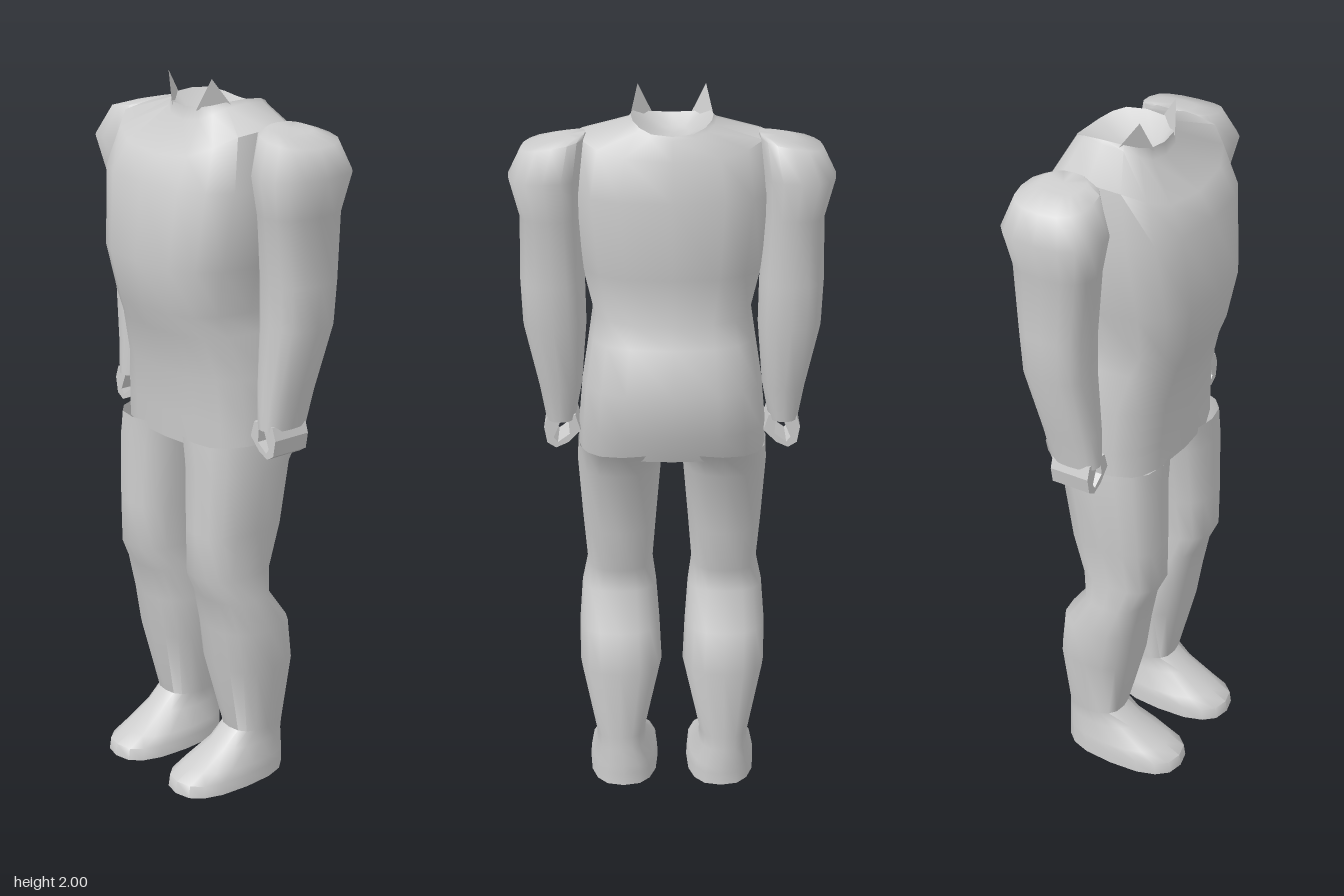
import * as THREE from 'three';
import { toCreasedNormals } from 'three/addons/utils/BufferGeometryUtils.js';

const SIDES = 16;
const soft = (v, p) => Math.sign(v) * Math.pow(Math.abs(v), p);

// Loft through rounded sections, listed top to bottom, with optional end caps:
// [y, x0, x1, zFront, zBack, frontDy, backDy, tiltDy]
function loft(rows, { power = 0.78, crease = 1.0, capTop = false, capBottom = false }) {
  const pos = [], idx = [];
  const centre = (r) => [(r[1] + r[2]) / 2, r[0], (r[3] + r[4]) / 2];
  for (const r of rows) {
    const [y, x0, x1, zf, zb, df = 0, db = 0, tilt = 0] = r;
    const cx = (x0 + x1) / 2, zm = (zf + zb) / 2;
    for (let i = 0; i < SIDES; i++) {
      const t = (i / SIDES) * Math.PI * 2, s = Math.sin(t), c = Math.cos(t);
      pos.push(
        cx + ((x1 - x0) / 2) * soft(s, power),
        y + (c > 0 ? df : db) * c * c + tilt * s,
        zm + ((zf - zb) / 2) * soft(c, power)
      );
    }
  }
  const last = (rows.length - 1) * SIDES;
  const top = pos.length / 3, bottom = top + 1;
  pos.push(...centre(rows[0]), ...centre(rows[rows.length - 1]));
  for (let i = 0; i < SIDES; i++) {
    const j = (i + 1) % SIDES;
    for (let r = 0; r < last; r += SIDES) {
      idx.push(r + i, r + SIDES + i, r + SIDES + j, r + i, r + SIDES + j, r + j);
    }
    if (capTop) idx.push(top, i, j);
    if (capBottom) idx.push(bottom, last + j, last + i);
  }
  const g = new THREE.BufferGeometry();
  g.setAttribute('position', new THREE.Float32BufferAttribute(pos, 3));
  g.setIndex(idx);
  return toCreasedNormals(g, crease);
}

// Move a section list to the model's left (+1) or right (-1)
const onSide = (rows, s) => rows.map(([y, a, b, zf, zb, df = 0, db = 0, tilt = 0]) =>
  s > 0 ? [y, a, b, zf, zb, df, db, tilt] : [y, -b, -a, zf, zb, df, db, -tilt]);

export function createModel() {
  const group = new THREE.Group();
  const grey = new THREE.MeshStandardMaterial({ color: 0xcccccc, side: THREE.DoubleSide });
  grey.name = 'plain grey';
  const add = (name, geometry) => {
    const mesh = new THREE.Mesh(geometry, grey);
    mesh.name = name;
    group.add(mesh);
    return mesh;
  };

  // Torso, from the hollow of the neck out over the shoulders and down to the hips
  add('torso', loft([
    [1.885, -0.045, 0.045, 0.045, -0.09],
    [1.94, -0.108, 0.108, 0.07, -0.163, -0.02, -0.035],
    [1.93, -0.116, 0.116, 0.075, -0.168, -0.045, -0.035],
    [1.888, -0.25, 0.25, 0.172, -0.182, -0.08, -0.045],
    [1.74, -0.272, 0.272, 0.215, -0.207],
    [1.53, -0.246, 0.246, 0.235, -0.19],
    [1.4, -0.215, 0.215, 0.212, -0.17],
    [1.34, -0.224, 0.224, 0.188, -0.2],
    [1.22, -0.243, 0.243, 0.158, -0.233],
    [1.1, -0.254, 0.254, 0.148, -0.215],
    [1.02, -0.256, 0.256, 0.142, -0.182],
  ], { power: 0.72, capTop: true }));

  // Flat underside between the thighs
  const crotch = add('crotch', new THREE.PlaneGeometry(0.1, 0.29).rotateX(Math.PI / 2));
  crotch.position.set(0, 1.022, -0.02);

  // Each leg runs from the hip down into the foot
  const legRows = [
    [1.04, 0.012, 0.258, 0.15, -0.2],
    [0.96, 0.03, 0.262, 0.15, -0.14],
    [0.78, 0.045, 0.25, 0.155, -0.115],
    [0.65, 0.055, 0.24, 0.155, -0.08],
    [0.58, 0.045, 0.255, 0.12, -0.065],
    [0.48, 0.036, 0.262, 0.1, -0.138],
    [0.36, 0.03, 0.262, 0.08, -0.152],
    [0.15, 0.078, 0.218, 0.03, -0.14],
    [0.11, 0.076, 0.218, 0.08, -0.142],
    [0.06, 0.05, 0.232, 0.165, -0.145],
    [0.035, 0.044, 0.237, 0.215, -0.145],
    [0.0, 0.042, 0.239, 0.22, -0.145],
  ];
  const armRows = [
    [1.888, 0.225, 0.32, 0.0, -0.12, 0, 0, -0.008],
    [1.872, 0.225, 0.395, 0.05, -0.16, 0, 0, -0.016],
    [1.785, 0.235, 0.43, 0.09, -0.188],
    [1.68, 0.24, 0.402, 0.065, -0.168],
    [1.5, 0.232, 0.405, 0.045, -0.155],
    [1.38, 0.23, 0.4, 0.04, -0.148],
    [1.2, 0.245, 0.362, 0.05, -0.11],
    [1.1, 0.264, 0.345, 0.055, -0.09],
  ];
  // Curled hand, drawn from the front as a loop of palm, fingers and thumb
  const palm = [[0.264, 1.115], [0.338, 1.115], [0.35, 1.08], [0.342, 1.035],
    [0.318, 1.02], [0.285, 1.035], [0.25, 1.07]];
  const grip = [[0.283, 1.1], [0.302, 1.103], [0.324, 1.05], [0.313, 1.036], [0.28, 1.06]];

  for (const s of [1, -1]) {
    const label = s > 0 ? 'left' : 'right';
    add(label + 'Leg', loft(onSide(legRows, s), { capBottom: true }));
    add(label + 'Arm', loft(onSide(armRows, s), { crease: 1.2, capTop: true, capBottom: true }));

    const points = (list) => list.map(([x, y]) => new THREE.Vector2(s * x, y));
    const shape = new THREE.Shape(points(palm));
    shape.holes.push(new THREE.Path(points(grip)));
    const hand = new THREE.ExtrudeGeometry(shape, { depth: 0.115, bevelEnabled: false });
    hand.translate(0, 0, -0.07);
    add(label + 'Hand', hand);

    // Pointed collar tip
    const tip = new THREE.BufferGeometry().setFromPoints([
      new THREE.Vector3(s * 0.05, 1.915, 0.07),
      new THREE.Vector3(s * 0.108, 1.93, 0.0),
      new THREE.Vector3(s * 0.09, 2.0, 0.05),
    ]);
    tip.setIndex(s > 0 ? [0, 1, 2] : [1, 0, 2]);
    tip.computeVertexNormals();
    add(label + 'CollarTip', tip);
  }
  return group;
}
